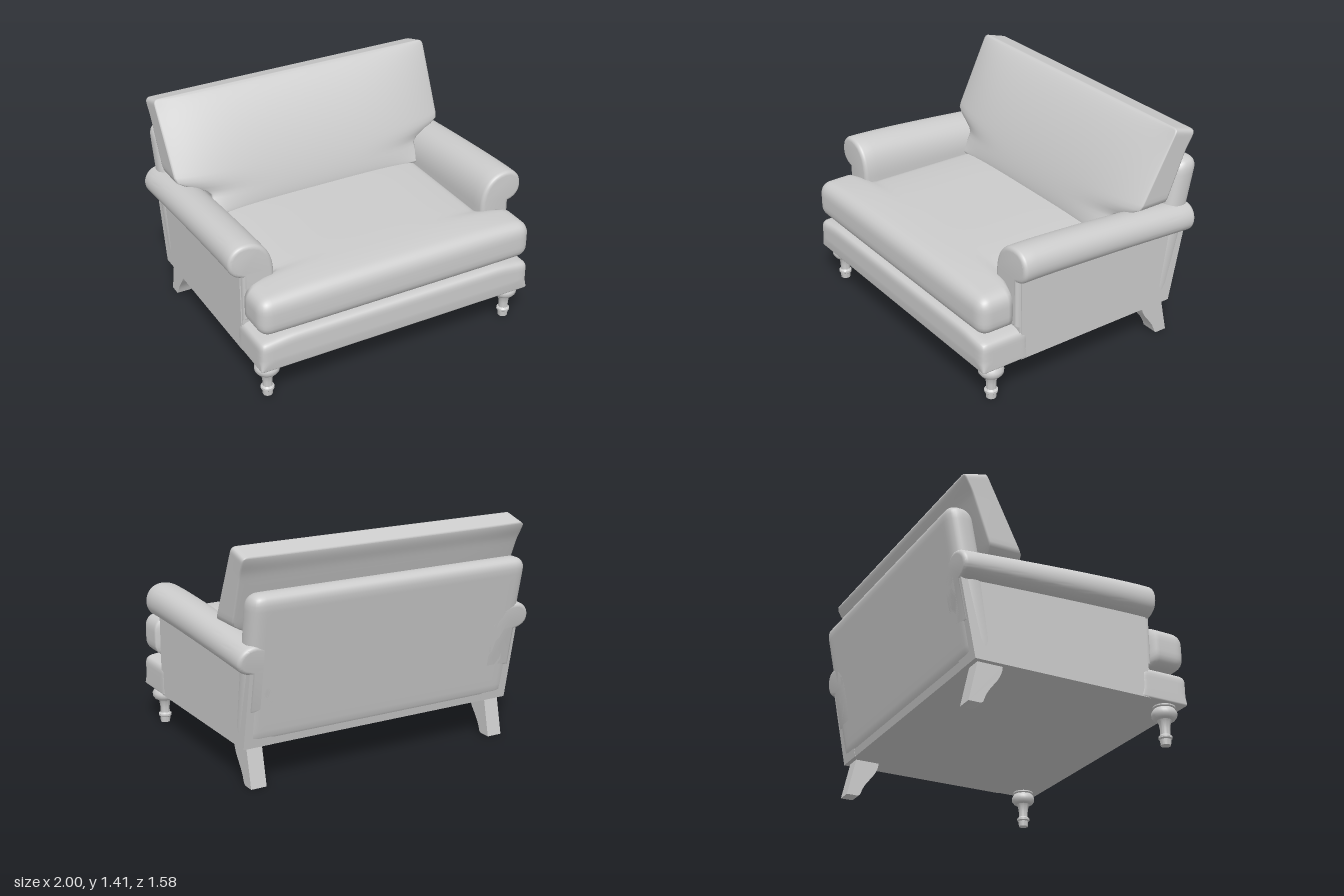
import * as THREE from 'three';
import { mergeVertices, toCreasedNormals } from 'three/addons/utils/BufferGeometryUtils.js';

const material = new THREE.MeshStandardMaterial({ color: 0xcccccc });
const { lerp, clamp, smoothstep } = THREE.MathUtils;

// Depth of the raked rear plane at a given height
const rearZ = (y) => -0.62 - 0.198 * (y - 0.24);

function add(parent, name, geometry) {
  const mesh = new THREE.Mesh(geometry, material);
  mesh.name = name;
  parent.add(mesh);
  return mesh;
}

// Rounded box between two corners; warp(p, u) reshapes each point, u runs -1..1 on each axis
function softBox(min, max, radius, segments, warp) {
  const box = new THREE.BoxGeometry(2, 2, 2, ...segments);
  box.deleteAttribute('normal');
  box.deleteAttribute('uv');
  const geometry = mergeVertices(box);
  const lo = new THREE.Vector3(...min), hi = new THREE.Vector3(...max);
  const half = hi.clone().sub(lo).multiplyScalar(0.5);
  const centre = lo.clone().add(hi).multiplyScalar(0.5);
  const core = half.clone().subScalar(radius);
  const pos = geometry.attributes.position;
  const p = new THREE.Vector3(), inner = new THREE.Vector3(), u = new THREE.Vector3();
  for (let i = 0; i < pos.count; i++) {
    p.fromBufferAttribute(pos, i);
    // Gather the rows towards the edges, then round them
    for (const a of ['x', 'y', 'z']) p[a] = Math.sin(p[a] * Math.PI / 2) * half[a];
    inner.copy(p).clamp(core.clone().negate(), core);
    p.sub(inner);
    if (p.lengthSq() > 0) {
      const onSurface = p.length() > 1e-9;
      if (onSurface) p.setLength(radius);
    }
    p.add(inner);
    u.copy(p).divide(half);
    p.add(centre);
    if (warp) warp(p, u);
    pos.setXYZ(i, p.x, p.y, p.z);
  }
  geometry.computeVertexNormals();
  return geometry;
}

// Straight box whose rear face follows the rake
function rakedBox(x0, x1, y0, y1, front, inset) {
  const geometry = new THREE.BoxGeometry(x1 - x0, y1 - y0, 2);
  geometry.translate((x0 + x1) / 2, (y0 + y1) / 2, 0);
  const pos = geometry.attributes.position;
  for (let i = 0; i < pos.count; i++) {
    pos.setZ(i, pos.getZ(i) > 0 ? front : rearZ(pos.getY(i)) + inset);
  }
  geometry.computeVertexNormals();
  return geometry;
}

// Rolled arm: scroll section swept to the rear, sinking slightly
function rolledArm(side) {
  const shape = new THREE.Shape();
  const X = (x) => x * side;
  shape.moveTo(X(0.715), 0.46);
  shape.lineTo(X(0.715), 0.74);
  shape.bezierCurveTo(X(0.715), 0.89, X(0.79), 0.965, X(0.89), 0.965);
  shape.bezierCurveTo(X(0.955), 0.965, X(1), 0.92, X(1), 0.855);
  shape.bezierCurveTo(X(1), 0.8, X(0.965), 0.765, X(0.915), 0.755);
  shape.lineTo(X(0.915), 0.46);
  shape.closePath();
  const bevel = 0.025, front = 0.545, back = -0.62;
  const geometry = new THREE.ExtrudeGeometry(shape, {
    depth: front - back - 2 * bevel, steps: 16, curveSegments: 14,
    bevelThickness: bevel, bevelSize: bevel, bevelOffset: -bevel, bevelSegments: 4,
  });
  geometry.translate(0, 0, back + bevel);
  const pos = geometry.attributes.position;
  for (let i = 0; i < pos.count; i++) {
    const y = pos.getY(i), z = pos.getZ(i);
    const k = clamp((0.45 - z) / (0.45 - back), 0, 1);
    const sunk = y - 0.085 * Math.pow(k, 1.3) * smoothstep(y, 0.5, 0.97);
    pos.setXYZ(i, pos.getX(i), sunk, z + (rearZ(sunk) - back) * k);
  }
  return toCreasedNormals(geometry, 0.7);
}

// Splayed rear leg, cut from a side profile
function rearLegGeometry() {
  const shape = new THREE.Shape();
  shape.moveTo(-0.43, 0.25);
  shape.bezierCurveTo(-0.435, 0.14, -0.52, 0.12, -0.55, 0.01);
  shape.lineTo(-0.565, 0);
  shape.lineTo(-0.64, 0);
  shape.lineTo(-0.585, 0.25);
  shape.closePath();
  const geometry = new THREE.ExtrudeGeometry(shape, { depth: 0.1, bevelEnabled: false, curveSegments: 10 });
  geometry.translate(0, 0, -0.05);
  geometry.rotateY(-Math.PI / 2);
  return toCreasedNormals(geometry, 0.6);
}

// Turned front leg
function frontLegGeometry() {
  const profile = [
    [0, 0], [0.03, 0], [0.033, 0.035], [0.041, 0.042], [0.041, 0.055], [0.03, 0.065],
    [0.03, 0.1], [0.036, 0.14], [0.044, 0.155], [0.062, 0.16], [0.075, 0.178],
    [0.076, 0.2], [0.066, 0.218], [0.06, 0.225], [0.067, 0.232], [0.067, 0.25], [0, 0.25],
  ].map(([r, y]) => new THREE.Vector2(r, y));
  return toCreasedNormals(new THREE.LatheGeometry(profile, 28), 0.7);
}

export function createModel() {
  const sofa = new THREE.Group();
  sofa.name = 'sofa';

  // Base and front rail
  add(sofa, 'base', rakedBox(-0.915, 0.915, 0.24, 0.46, 0.52, 0.006));
  add(sofa, 'frontRail', softBox([-0.925, 0.24, 0.45], [0.925, 0.455, 0.785], 0.045, [30, 14, 16], (p, u) => {
    // Square off the lower edge, round the upper one
    if (u.y < -0.55) {
      p.y = 0.24 + (p.y - 0.24) * 0.3;
      p.x += Math.sign(u.x) * (Math.abs(u.x) > 0.9 ? (0.925 - Math.abs(p.x)) * 0.75 : 0);
      if (u.z > 0.7) p.z = lerp(p.z, 0.775, 0.75);
    }
    if (u.y > 0) p.y -= 0.02 * smoothstep(Math.abs(u.x), 0.75, 1);
  }));

  // Raked back panel
  add(sofa, 'backPanel', softBox([-0.935, 0.24, 0], [0.935, 1.175, 0.17], 0.075, [36, 24, 12], (p, u) => {
    p.x *= lerp(0.985, 1, (u.y + 1) / 2);
    p.z += rearZ(p.y);
  }));

  // Seat cushion, T-shaped around the arms and crowned
  add(sofa, 'seatCushion', softBox([-0.925, 0.475, -0.5], [0.925, 0.715, 0.79], 0.075, [44, 12, 56], (p, u) => {
    const crown = (1 - Math.pow(u.x, 4)) * (1 - Math.pow(u.z, 6));
    p.y += u.y > 0 ? 0.035 * crown * u.y : 0.018 * crown * u.y;
    p.x *= lerp(0.79, 1, smoothstep(p.z, 0.5, 0.575));
  }));

  // Back cushion: leaning, full in front, narrowed between the arms
  add(sofa, 'backCushion', softBox([-0.955, 0.72, -1], [0.955, 1.415, 1], 0.03, [44, 36, 14], (p, u) => {
    const y = p.y;
    const frontZ = -0.33 - 0.51 * (y - 0.94);
    const backZ = -0.52 - 0.38 * (y - 0.91);
    const sideFade = 1 - Math.pow(Math.abs(u.x), 5);
    const rise = clamp((y - 0.72) / 0.695, 0, 1);
    const bulge = 0.19 * Math.pow(rise, 0.7) * Math.pow(1 - rise, 0.6) * sideFade;
    const depth = (u.z + 1) / 2;
    p.z = lerp(backZ, frontZ, depth);
    p.z += u.z > 0 ? bulge * u.z : 0.25 * bulge * u.z;
    p.y -= 0.04 * (1 - depth) * smoothstep(u.y, 0.5, 1);
    p.x *= lerp(0.765, lerp(0.975, 1, rise), smoothstep(y, 0.84, 0.96));
  }));

  // Arms, side panels and legs, mirrored
  const frontLeg = frontLegGeometry(), rearLeg = rearLegGeometry();
  for (const [side, label] of [[1, 'left'], [-1, 'right']]) {
    add(sofa, label + 'Arm', rolledArm(side));
    const edges = [0.74 * side, 0.922 * side].sort((a, b) => a - b);
    add(sofa, label + 'SidePanel', rakedBox(...edges, 0.24, 0.79, 0.51, 0.004));
    add(sofa, label + 'FrontLeg', frontLeg).position.set(0.84 * side, 0, 0.665);
    add(sofa, label + 'RearLeg', rearLeg).position.x = 0.84 * side;
  }
  return sofa;
}
